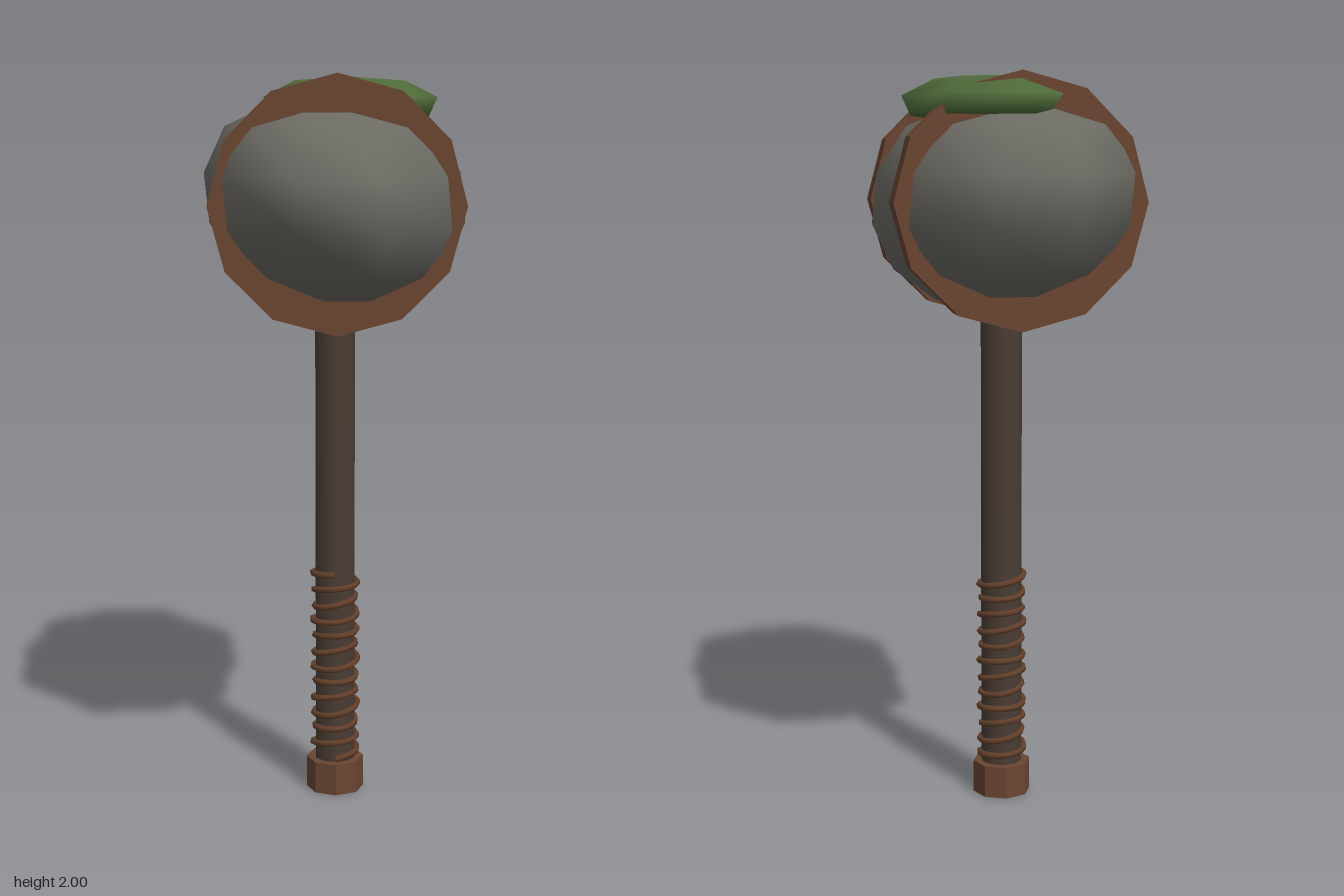
import * as THREE from 'three';
import { mergeVertices } from 'three/addons/utils/BufferGeometryUtils.js';

const material = (name, color, flatShading = false) => {
  const m = new THREE.MeshStandardMaterial({ color, flatShading });
  m.name = name;
  return m;
};

// Stone head: a coarse sphere, stretched along z and flattened on top
function stoneGeometry() {
  let g = new THREE.SphereGeometry(1, 10, 7);
  g.deleteAttribute('uv');
  g.deleteAttribute('normal');
  g = mergeVertices(g, 1e-4);
  const p = g.attributes.position;
  for (let i = 0; i < p.count; i++) {
    let y = p.getY(i) * 0.305;
    const x = p.getX(i) * 0.355 - 0.1 * y;
    if (y > 0.2) y = 0.2 + (y - 0.2) * 0.6;
    p.setXYZ(i, x, 1.675 + y, p.getZ(i) * 0.57);
  }
  g.computeVertexNormals();
  return g;
}

// Moss: an uneven outline lofted upward through shrinking rings
function mossGeometry() {
  const outline = [[-0.19, 0.07], [0, 0.2], [0.2, 0.18], [0.28, -0.07], [0.21, -0.33], [-0.01, -0.39], [-0.19, -0.21]];
  const rings = [[0.9, 1.89], [1, 1.942], [0.64, 1.986]];
  const cx = 0.04, cz = -0.08, n = outline.length;
  const pos = [], idx = [];
  for (const [s, y] of rings)
    for (const [x, z] of outline) pos.push(cx + (x - cx) * s, y, cz + (z - cz) * s);
  const bottom = n * rings.length, top = bottom + 1;
  pos.push(cx, 1.885, cz, cx, 1.997, cz);
  for (let i = 0; i < n; i++) {
    const j = (i + 1) % n;
    for (let r = 0; r < rings.length - 1; r++) {
      const a = r * n + i, b = r * n + j;
      idx.push(a, b, b + n, a, b + n, a + n);
    }
    idx.push(j, i, bottom, bottom - n + i, bottom - n + j, top);
  }
  const g = new THREE.BufferGeometry();
  g.setAttribute('position', new THREE.Float32BufferAttribute(pos, 3));
  g.setIndex(idx);
  g.computeVertexNormals();
  return g;
}

// Cord wound around the grip
function wrapGeometry() {
  const turns = 12, steps = turns * 10, pts = [];
  for (let i = 0; i <= steps; i++) {
    const t = (i / steps) * turns * Math.PI * 2;
    const r = 0.06 + 0.003 * Math.sin(t * 0.37);
    pts.push(new THREE.Vector3(Math.sin(t) * r, 0.1 + 0.54 * (i / steps) + 0.004 * Math.sin(t * 1.3), Math.cos(t) * r));
  }
  return new THREE.TubeGeometry(new THREE.CatmullRomCurve3(pts), steps * 2, 0.009, 5);
}

export function createModel() {
  const model = new THREE.Group();
  model.name = 'stoneHammer';
  const stone = material('stone grey', 0x6b6a63);
  const wood = material('dark wood', 0x4a3d34);
  const leather = material('brown leather', 0x6b4632, true);
  const cord = material('cord brown', 0x64402a);
  const moss = material('moss green', 0x4f6b3a);

  const add = (name, geometry, mat, y = 0, z = 0) => {
    const mesh = new THREE.Mesh(geometry, mat);
    mesh.name = name;
    mesh.position.set(0, y, z);
    model.add(mesh);
    return mesh;
  };

  add('stoneHead', stoneGeometry(), stone);
  add('mossPatch', mossGeometry(), moss);

  // Bands around the head, front and back
  for (const [name, z] of [['frontBand', 0.25], ['backBand', -0.25]])
    add(name, new THREE.CylinderGeometry(0.332, 0.332, 0.09, 12), leather, 1.668, z).rotation.x = Math.PI / 2;

  // Handle, grip and end cap
  add('handle', new THREE.CylinderGeometry(0.057, 0.057, 1.4, 10), wood, 0.75);
  add('gripWrap', wrapGeometry(), cord);
  add('pommel', new THREE.CylinderGeometry(0.081, 0.081, 0.09, 8), leather, 0.045);

  return model;
}
